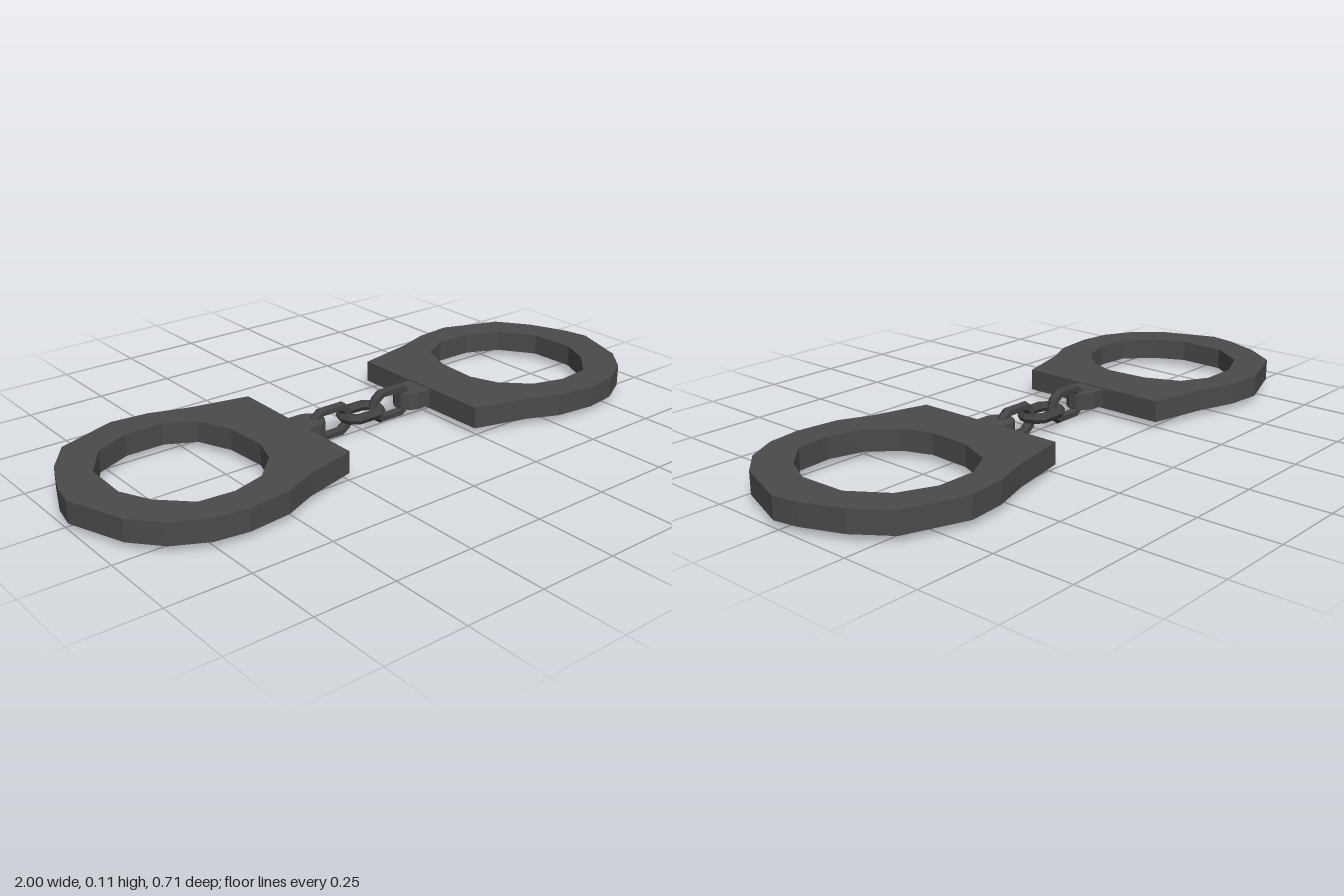
import * as THREE from 'three';

const cuffMaterial = new THREE.MeshStandardMaterial({ color: 0x4a4a4a, flatShading: true });
const chainMaterial = new THREE.MeshStandardMaterial({ color: 0x424242, flatShading: true });
const CHAIN_Z = -0.006;
const CHAIN_Y = 0.058;

// Outlines as [x, z], drawn for the +x side and mirrored for the other
const cuffOutline = [
  [0.24, -0.265], [0.43, -0.305], [0.55, -0.345], [0.67, -0.357], [0.86, -0.287],
  [0.935, -0.183], [0.985, -0.06], [1.0, 0.02], [0.935, 0.2], [0.86, 0.287],
  [0.76, 0.34], [0.655, 0.355], [0.52, 0.34], [0.42, 0.295], [0.245, 0.247],
];
const wristHole = [
  [0.68, -0.25], [0.555, -0.25], [0.465, -0.2], [0.42, -0.09], [0.412, 0.05],
  [0.445, 0.14], [0.525, 0.22], [0.63, 0.25], [0.74, 0.24], [0.825, 0.155],
  [0.87, 0.06], [0.865, -0.09], [0.79, -0.2],
];
const tabOutline = [
  [0.26, -0.057], [0.19, -0.057], [0.165, -0.045], [0.15, -0.022],
  [0.15, 0.008], [0.165, 0.031], [0.19, 0.042], [0.26, 0.042],
];

// Flat plate lying in the xz plane between two heights
function plate(name, outline, hole, side, bottom, top) {
  const mirror = (points) => points.map(([x, z]) => new THREE.Vector2(x * side, z));
  const shape = new THREE.Shape(mirror(outline));
  if (hole) shape.holes.push(new THREE.Path(mirror(hole)));
  const geometry = new THREE.ExtrudeGeometry(shape, { depth: top - bottom, bevelEnabled: false });
  geometry.rotateX(Math.PI / 2).translate(0, top, 0);
  const mesh = new THREE.Mesh(geometry, cuffMaterial);
  mesh.name = name;
  return mesh;
}

// Oval chain link: a hexagonal ring whose two halves are pulled apart
function chainLink(name, x, upright) {
  const geometry = new THREE.TorusGeometry(0.0426, 0.0165, 6, 10);
  const position = geometry.attributes.position;
  for (let i = 0; i < position.count; i++) {
    position.setX(i, position.getX(i) + Math.sign(position.getX(i)) * 0.024);
  }
  const mesh = new THREE.Mesh(geometry, chainMaterial);
  mesh.name = name;
  mesh.position.set(x, CHAIN_Y, CHAIN_Z);
  if (!upright) mesh.rotation.x = Math.PI / 2;
  return mesh;
}

export function createModel() {
  const model = new THREE.Group();
  model.name = 'handcuffs';
  for (const [label, side] of [['left', 1], ['right', -1]]) {
    const cuff = new THREE.Group();
    cuff.name = label + 'Cuff';
    cuff.add(
      plate(label + 'CuffRing', cuffOutline, wristHole, side, 0.022, 0.09),
      plate(label + 'ChainTab', tabOutline, null, side, 0.032, 0.086),
    );
    model.add(cuff, chainLink(label + 'ChainLink', side * 0.118, true));
  }
  model.add(chainLink('middleChainLink', 0, false));
  return model;
}
